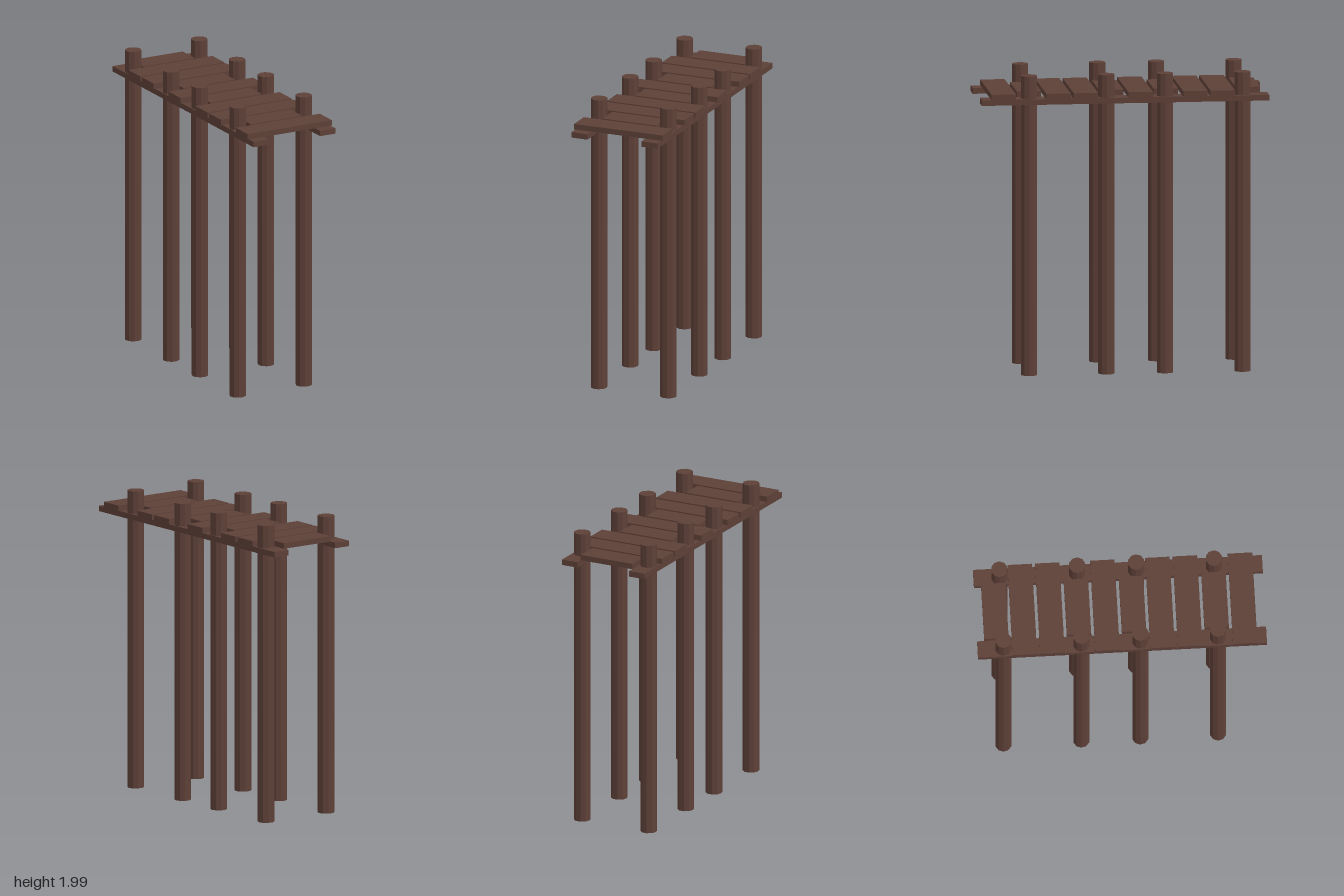
import * as THREE from 'three';

export function createModel() {
  const model = new THREE.Group();
  model.name = 'pier';
  const wood = new THREE.MeshStandardMaterial({ color: 0x5d4037, flatShading: true });

  // The pier is turned about the vertical axis
  const turn = -THREE.MathUtils.degToRad(15);
  const pier = new THREE.Group();
  pier.name = 'turnedPier';
  pier.rotation.y = turn;
  model.add(pier);

  const add = (name, geometry, x, y, z) => {
    const mesh = new THREE.Mesh(geometry, wood);
    mesh.name = name;
    mesh.position.set(x, y, z);
    pier.add(mesh);
    return mesh;
  };

  const railX = 0.25, railWidth = 0.115, railLength = 1.9;
  const railBottom = 1.803, thickness = 0.037;
  const postHeight = 1.99;

  // Two long rails, each with four ten-sided posts running through it
  const postGeometry = new THREE.CylinderGeometry(0.055, 0.055, postHeight, 10);
  const railGeometry = new THREE.BoxGeometry(railWidth, thickness, railLength);
  for (const [side, sign] of [['left', 1], ['right', -1]]) {
    add(`${side}Rail`, railGeometry, sign * railX, railBottom + thickness / 2, 0);
    [-0.78, -0.268, 0.12, 0.631].forEach((z, i) => {
      const post = add(`${side}Post${i + 1}`, postGeometry, sign * 0.248, postHeight / 2, z);
      post.rotation.y = -turn; // facets stay square to the model axes
    });
  }

  // Deck: ten planks, the ones beside posts are cut short to fit between them
  const shortPlanks = [0, 3, 5, 8];
  for (let i = 0; i < 10; i++) {
    const width = shortPlanks.includes(i) ? 0.385 : 0.632;
    add(`plank${i + 1}`, new THREE.BoxGeometry(width, thickness, 0.161),
      0, railBottom + thickness * 1.5, -0.823 + 0.181 * i);
  }

  return model;
}
